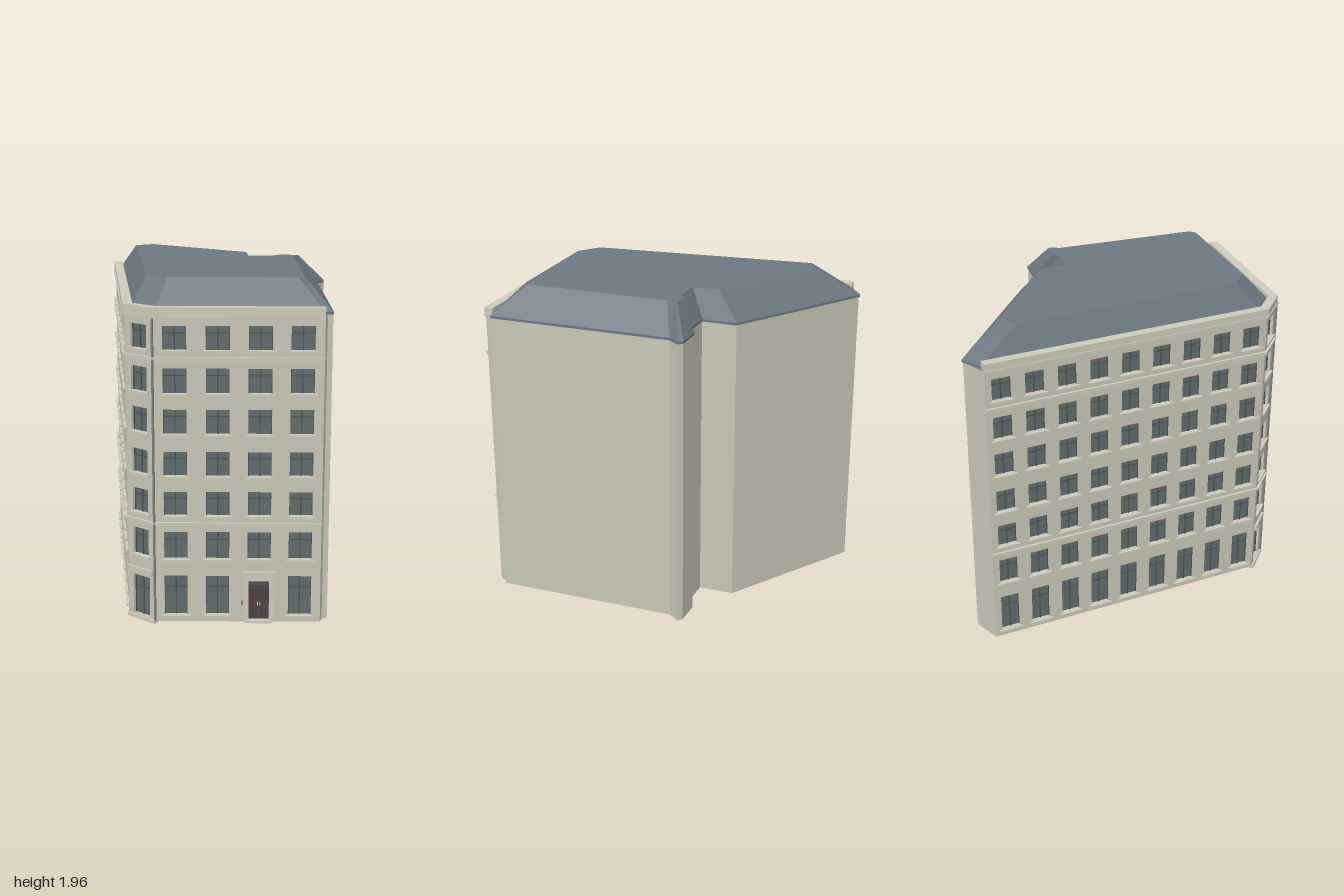
import * as THREE from 'three';

const V = (x, z) => new THREE.Vector2(x, z);
const mat = (color) => new THREE.MeshStandardMaterial({ color, side: THREE.DoubleSide, flatShading: true });
const WALL = mat(0xc8c4b6), ROOF = mat(0x6c7780), GLASS = mat(0x616c6d), FRAME = mat(0x4b5355),
  TRIM = mat(0xcdc9bb), DOOR = mat(0x50403f), METAL = mat(0x7f7d76);

const BASE = 0.015, EAVE = 1.775, TOP = 1.82;

// Plan outline as (x, z): street fronts first, then the plain rear walls
const STREET = [V(-0.66, -0.92), V(-0.505, 0.82), V(-0.35, 0.95), V(0.585, 0.972)];
const REAR = [STREET[3], V(0.6, 0.925), V(0.63, 0.92), V(0.63, -0.19), V(0.68, -0.252), V(0.655, -0.278),
  V(0.5, -0.285), V(0.457, -0.24), V(0.26, -0.25), V(0.26, -0.46), V(-0.503, -0.993), STREET[0]];

// Roof: eaves and matching ridge outline
const EAVES = [V(-0.62, -0.925), V(-0.47, 0.8), V(-0.34, 0.91), V(0.585, 0.93), V(0.633, 0.92), V(0.633, -0.19),
  V(0.68, -0.255), V(0.658, -0.282), V(0.5, -0.288), V(0.455, -0.243), V(0.265, -0.255), V(0.265, -0.46), V(-0.505, -1)];
const RIDGE = [V(-0.51, -0.69), V(-0.39, 0.66), V(-0.27, 0.76), V(0.45, 0.77), V(0.485, 0.74), V(0.485, -0.12),
  V(0.515, -0.18), V(0.505, -0.19), V(0.395, -0.195), V(0.36, -0.16), V(0.2, -0.17), V(0.2, -0.33), V(-0.4, -0.75)];

// Storeys: bottom and top of each window opening
const ROWS = [[0.055, 0.29], [0.39, 0.55], [0.645, 0.785], [0.875, 1.015], [1.115, 1.255], [1.345, 1.485], [1.585, 1.72]];

function add(parent, name, geometry, material, x = 0, y = 0, z = 0) {
  const m = new THREE.Mesh(geometry, material);
  m.name = name;
  m.position.set(x, y, z);
  parent.add(m);
  return m;
}
const box = (parent, name, material, w, h, d, x, y, z) =>
  add(parent, name, new THREE.BoxGeometry(w, h, d), material, x, y, z);

// Plan polygon turned to lie flat, facing up
const planShape = (pts) => new THREE.Shape(pts.map((p) => V(p.x, -p.y)));

// Ruled strip between two outlines at two heights
function strip(low, high, y0, y1, closed) {
  const pos = [], n = low.length;
  for (let i = 0; i < (closed ? n : n - 1); i++) {
    const j = (i + 1) % n;
    const a = [low[i].x, y0, low[i].y], b = [low[j].x, y0, low[j].y];
    const c = [high[j].x, y1, high[j].y], d = [high[i].x, y1, high[i].y];
    pos.push(...a, ...b, ...c, ...a, ...c, ...d);
  }
  const g = new THREE.BufferGeometry();
  g.setAttribute('position', new THREE.Float32BufferAttribute(pos, 3));
  g.computeVertexNormals();
  return g;
}

// Street line moved outwards by d with mitred corners
function offset(d) {
  return STREET.map((p, i) => {
    const normal = (a, b) => { const t = b.clone().sub(a).normalize(); return V(-t.y, t.x); };
    const n0 = normal(STREET[Math.max(i - 1, 0)], STREET[Math.max(i, 1)]);
    const n1 = normal(STREET[Math.min(i, 2)], STREET[Math.min(i + 1, 3)]);
    const m = n0.clone().add(n1).normalize();
    return p.clone().addScaledVector(m, d / m.dot(n0));
  });
}

// Moulding running along all the street fronts
function band(parent, name, y0, y1, out, inner) {
  const pts = [...offset(out), ...offset(-inner).reverse()];
  const g = new THREE.ExtrudeGeometry(planShape(pts), { depth: y1 - y0, bevelEnabled: false });
  add(parent, name, g.rotateX(-Math.PI / 2), TRIM, 0, y0, 0);
}

// Recessed glazing with a T-shaped frame and a sill
function addWindow(parent, x, w, y0, y1, sill) {
  const h = y1 - y0, bar = 0.006, yt = y0 + h * 0.7, z = -0.019;
  const g = new THREE.Group();
  g.name = 'window';
  parent.add(g);
  box(g, 'glass', GLASS, w, h, 0.006, x, y0 + h / 2, -0.025);
  box(g, 'mullion', FRAME, bar, h, 0.006, x, y0 + h / 2, z);
  box(g, 'transom', FRAME, w, bar, 0.006, x, yt, z);
  for (const s of [-1, 1]) box(g, 'sideFrame', FRAME, 0.004, h, 0.006, x + s * (w / 2 - 0.002), y0 + h / 2, z);
  if (sill) box(g, 'sill', TRIM, w + 0.03, 0.012, 0.034, x, y0 - 0.006, -0.003);
}

// Street front from a to b; local x runs along it and local z points outwards
function facade(parent, name, a, b, columns, w, opening) {
  const g = new THREE.Group(), len = a.distanceTo(b);
  g.name = name;
  g.position.set(a.x, 0, a.y);
  g.rotation.y = -Math.atan2(b.y - a.y, b.x - a.x);
  parent.add(g);
  const rect = (T, x0, x1, y0, y1) => new T([V(x0, y0), V(x1, y0), V(x1, y1), V(x0, y1)]);
  const wall = rect(THREE.Shape, 0, len, BASE, TOP - 0.01);
  columns.forEach((x, c) => ROWS.forEach(([y0, y1], r) => {
    const special = r === 0 && opening && opening.column === c;
    const o = special ? opening : { w, y0, y1 };
    wall.holes.push(rect(THREE.Path, x - o.w / 2, x + o.w / 2, o.y0, o.y1));
    if (!special || !opening.door) addWindow(g, x, o.w, o.y0, o.y1, !special);
  }));
  const geo = new THREE.ExtrudeGeometry(wall, { depth: 0.03, bevelEnabled: false }).translate(0, 0, -0.03);
  add(g, name + 'Wall', geo, WALL);
  return g;
}

export function createModel() {
  const model = new THREE.Group();
  model.name = 'cornerBuilding';
  const [A, B, C, D] = STREET;

  // Long side front with nine bays
  const sideLength = A.distanceTo(B);
  const bays = Array.from({ length: 9 }, (_, i) => (sideLength * (i + 0.5)) / 9);
  facade(model, 'sideFront', A, B, bays, 0.115);

  // Angled corner with shop entrance, sign board and step
  const cl = B.distanceTo(C);
  const corner = facade(model, 'cornerFront', B, C, [cl / 2], 0.115, { column: 0, w: 0.125, y0: 0.025, y1: 0.265 });
  box(corner, 'signBoard', TRIM, cl * 0.9, 0.03, 0.02, cl / 2, 0.3, 0.006);
  box(corner, 'entranceStep', TRIM, cl, 0.02, 0.04, cl / 2, 0.01, -0.008);

  // Main front with the house door in the third bay
  const doorX = 0.588;
  const front = facade(model, 'mainFront', C, D, [0.12, 0.355, doorX, 0.818], 0.13,
    { column: 2, door: true, w: 0.115, y0: 0.025, y1: 0.262 });
  const entry = new THREE.Group();
  entry.name = 'entrance';
  entry.position.x = doorX;
  front.add(entry);
  box(entry, 'door', DOOR, 0.115, 0.237, 0.008, 0, 0.143, -0.025);
  box(entry, 'doorTransom', FRAME, 0.115, 0.008, 0.008, 0, 0.235, -0.019);
  box(entry, 'doorSplit', FRAME, 0.004, 0.205, 0.004, 0, 0.13, -0.02);
  for (const s of [-1, 1]) {
    box(entry, 'doorPanel', DOOR, 0.036, 0.07, 0.006, s * 0.028, 0.18, -0.02);
    box(entry, 'doorPanel', DOOR, 0.036, 0.06, 0.006, s * 0.028, 0.07, -0.02);
    box(entry, 'doorHandle', TRIM, 0.004, 0.018, 0.008, s * 0.007, 0.115, -0.016);
    box(entry, 'doorJamb', TRIM, 0.03, 0.29, 0.012, s * 0.0725, 0.16, 0.004);
  }
  box(entry, 'doorLintel', TRIM, 0.175, 0.045, 0.012, 0, 0.2845, 0.004);
  box(entry, 'doorCornice', TRIM, 0.195, 0.012, 0.024, 0, 0.313, 0.01);
  box(entry, 'doorStep', TRIM, 0.15, 0.015, 0.03, 0, 0.0175, 0);
  box(entry, 'entryPanel', METAL, 0.012, 0.022, 0.008, -0.094, 0.13, 0.004);

  // String courses and the main cornice
  band(model, 'lowerCornice', 0.588, 0.598, 0.008, 0.02);
  band(model, 'lowerCorniceCap', 0.598, 0.608, 0.016, 0.02);
  band(model, 'upperCornice', 1.525, 1.537, 0.008, 0.02);
  band(model, 'upperCorniceCap', 1.537, 1.549, 0.016, 0.02);
  band(model, 'mainCornice', 1.765, 1.78, 0.014, 0.02);
  band(model, 'parapet', 1.78, TOP, 0.009, 0.045);

  // Downpipe beside the corner
  add(model, 'downpipe', new THREE.CylinderGeometry(0.007, 0.007, 1.74, 8), METAL, C.x, 0.89, C.y + 0.006);

  // Plain rear and side walls
  add(model, 'rearWalls', strip(REAR, REAR, BASE, EAVE, false), WALL);

  // Mansard roof
  const roof = new THREE.Group();
  roof.name = 'roof';
  model.add(roof);
  const flat = (pts) => new THREE.ShapeGeometry(planShape(pts)).rotateX(-Math.PI / 2);
  add(roof, 'roofEdge', strip(EAVES, EAVES, 1.775, 1.79, true), ROOF);
  add(roof, 'roofSlopes', strip(EAVES, RIDGE, 1.79, 1.955, true), ROOF);
  add(roof, 'roofTop', flat(RIDGE), ROOF, 0, 1.955, 0);
  add(roof, 'roofUnderside', flat(EAVES), ROOF, 0, 1.775, 0);
  return model;
}
